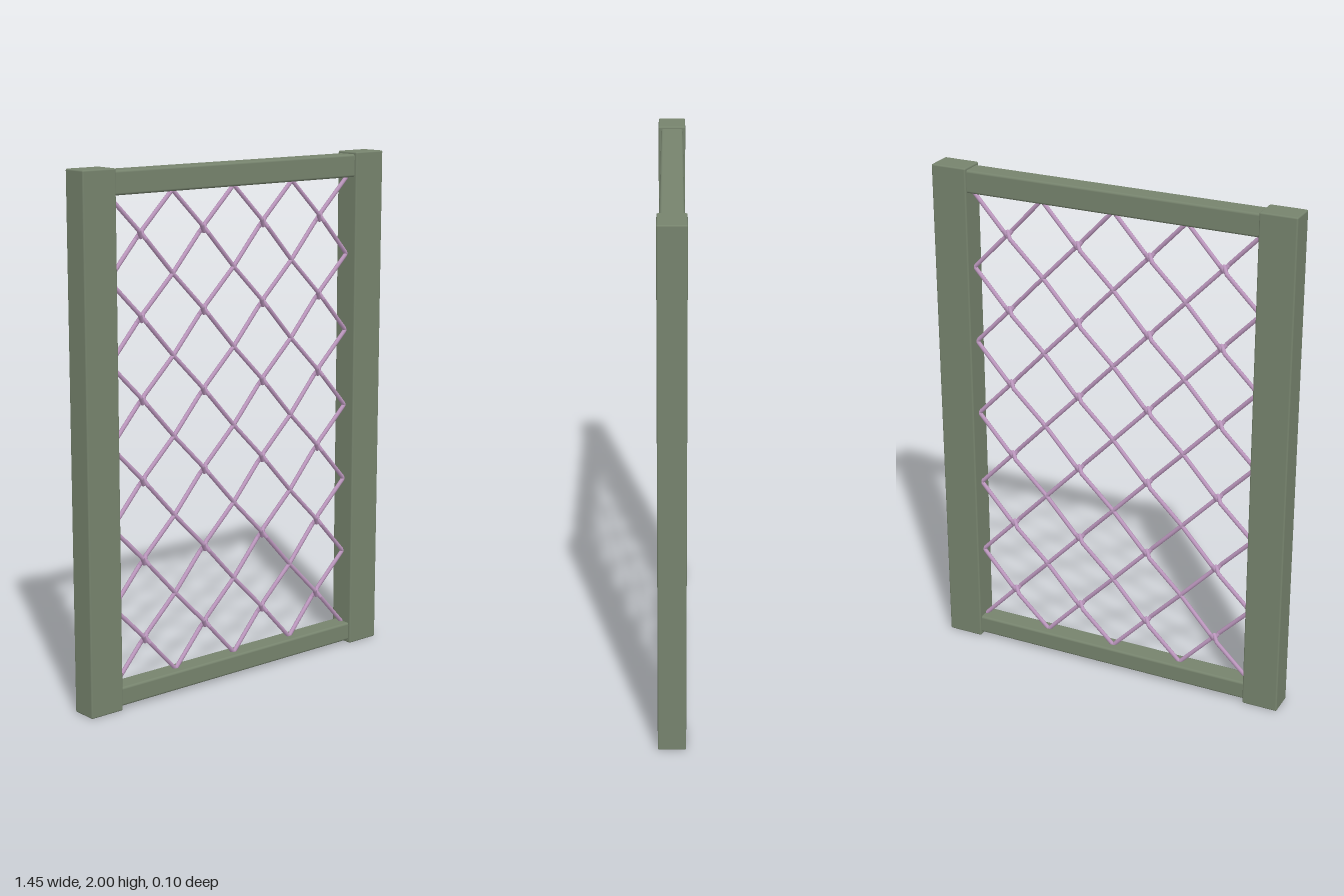
import * as THREE from 'three';
import { RoundedBoxGeometry } from 'three/addons/geometries/RoundedBoxGeometry.js';

export function createModel() {
  const model = new THREE.Group();
  model.name = 'chainLinkPanel';

  const frameGreen = new THREE.MeshStandardMaterial({ color: 0x76836d });
  frameGreen.name = 'frameGreen';
  const wireMauve = new THREE.MeshStandardMaterial({ color: 0xbd98bf });
  wireMauve.name = 'wireMauve';

  function beam(name, w, h, d, x, y, bevel) {
    const mesh = new THREE.Mesh(new RoundedBoxGeometry(w, h, d, 3, bevel), frameGreen);
    mesh.name = name;
    mesh.position.set(x, y, 0);
    model.add(mesh);
  }

  // Frame: two posts with slightly thinner rails between them
  beam('leftPost', 0.143, 2, 0.104, 0.6525, 1, 0.006);
  beam('rightPost', 0.143, 2, 0.104, -0.6525, 1, 0.006);
  beam('topRail', 1.2, 0.088, 0.084, 0, 1.947, 0.009);
  beam('bottomRail', 1.2, 0.073, 0.084, 0, 0.0485, 0.009);

  // Mesh: each row is a pair of zigzag wires whose bends hook through each other
  const columns = 4, rows = 6;
  const left = -0.582, bottom = 0.081;
  const cellW = 1.164 / columns, cellH = 1.824 / rows;
  const hook = 0.009, neck = 0.015, weave = 0.01, radius = 0.0082;
  const up = new THREE.Vector3(0, 1, 0);
  const ball = new THREE.SphereGeometry(radius, 8, 6);

  function rod(a, b) {
    const span = b.clone().sub(a);
    const mesh = new THREE.Mesh(
      new THREE.CylinderGeometry(radius, radius, span.length(), 8, 1, true), wireMauve);
    mesh.name = 'wireRod';
    mesh.position.copy(a).add(b).multiplyScalar(0.5);
    mesh.quaternion.setFromUnitVectors(up, span.normalize());
    return mesh;
  }

  // dir = 1: bends point up from the base line; dir = -1: bends point down
  function zigzag(name, baseY, dir) {
    const points = [];
    for (let c = 0; c < columns; c++) {
      const x = left + c * cellW;
      const mid = x + cellW / 2;
      const centre = baseY + dir * cellH / 2;
      const neckY = centre - dir * neck * cellH / cellW;
      points.push(
        new THREE.Vector3(x, baseY, 0),
        new THREE.Vector3(mid - neck, neckY, -dir * weave),
        new THREE.Vector3(mid, centre + dir * hook, 0),
        new THREE.Vector3(mid + neck, neckY, dir * weave)
      );
    }
    points.push(new THREE.Vector3(left + columns * cellW, baseY, 0));

    // Straight rods with small ball joints at the bends
    const wire = new THREE.Group();
    wire.name = name;
    points.forEach((p, i) => {
      if (i > 0) wire.add(rod(points[i - 1], p));
      const joint = new THREE.Mesh(ball, wireMauve);
      joint.name = 'wireBend';
      joint.position.copy(p);
      wire.add(joint);
    });
    model.add(wire);
  }

  for (let r = 0; r < rows; r++) {
    zigzag('risingWire', bottom + r * cellH, 1);
    zigzag('fallingWire', bottom + (r + 1) * cellH, -1);
  }

  return model;
}
